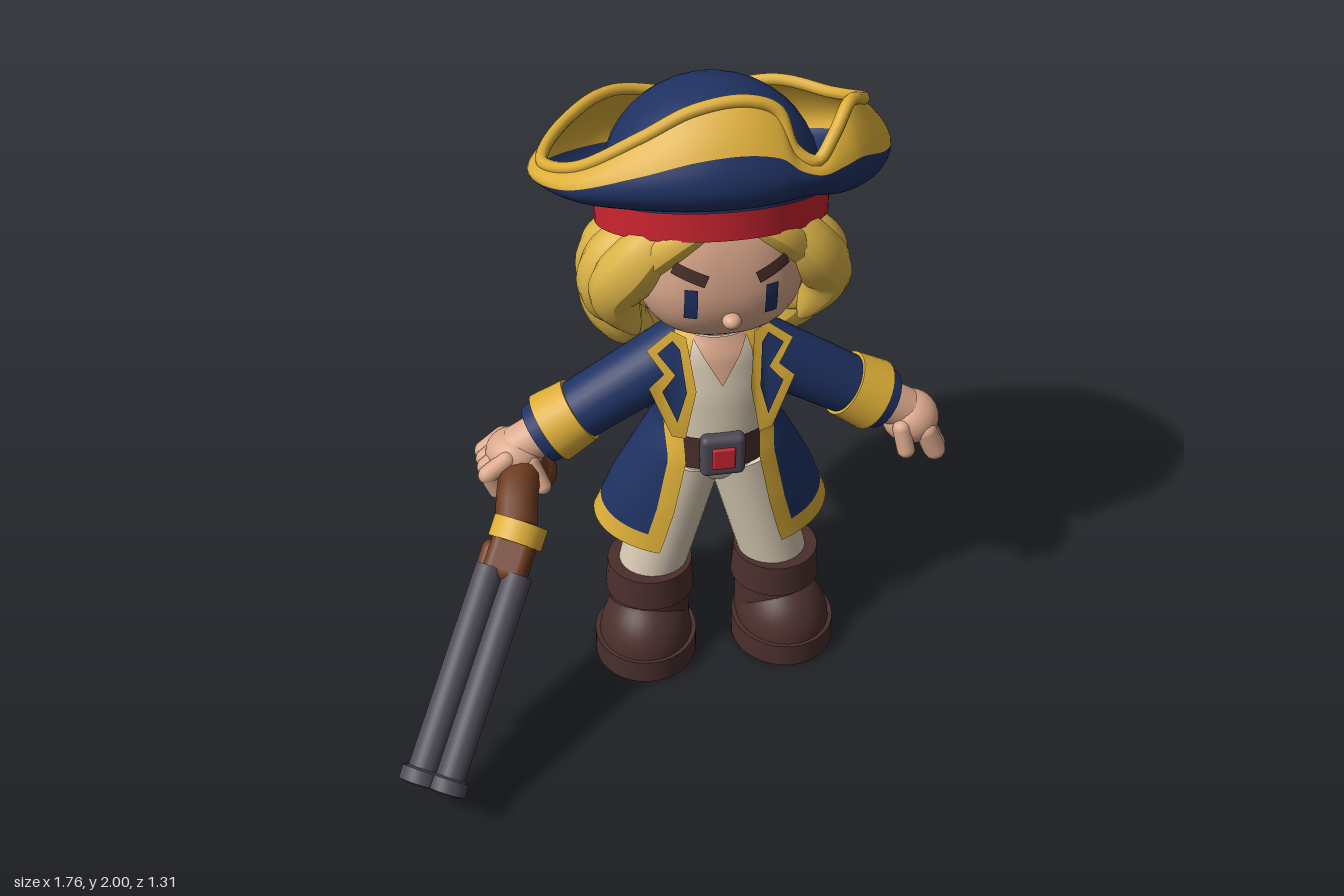
import * as THREE from 'three';
import { mergeVertices, toCreasedNormals } from 'three/addons/utils/BufferGeometryUtils.js';
import { RoundedBoxGeometry } from 'three/addons/geometries/RoundedBoxGeometry.js';

const V = (x, y, z) => new THREE.Vector3(x, y, z);
const paint = (name, color, side = THREE.FrontSide) => {
  const m = new THREE.MeshStandardMaterial({ color, side });
  m.name = name;
  return m;
};
const D = THREE.DoubleSide;
const skin = paint('skin', 0xdba88c, D), hair = paint('blonde hair', 0xdcb448, D), gold = paint('gold trim', 0xddae38, D);
const navy = paint('navy cloth', 0x1f3263, D), red = paint('red', 0xcc2430, D), cream = paint('cream cloth', 0xd9cbb4, D);
const wood = paint('wood', 0x6e3c20), leather = paint('dark leather', 0x4a2f2c, D), steel = paint('steel', 0x4d4956);

function add(parent, name, geo, mat, x = 0, y = 0, z = 0) {
  const m = new THREE.Mesh(geo, mat);
  m.name = name;
  m.position.set(x, y, z);
  parent.add(m);
  return m;
}
// surface through f(u, v) -> [x, y, z]
function grid(f, nu, nv) {
  const pos = [], idx = [];
  for (let j = 0; j <= nv; j++) for (let i = 0; i <= nu; i++) pos.push(...f(i / nu, j / nv));
  for (let j = 0; j < nv; j++) for (let i = 0; i < nu; i++) {
    const a = j * (nu + 1) + i, b = a + nu + 1;
    idx.push(a, a + 1, b, a + 1, b + 1, b);
  }
  let g = new THREE.BufferGeometry();
  g.setAttribute('position', new THREE.Float32BufferAttribute(pos, 3));
  g.setIndex(idx);
  g = mergeVertices(g, 1e-5);
  g.computeVertexNormals();
  return g;
}
function ball(parent, name, mat, c, r, sweep = Math.PI) {
  const m = add(parent, name, new THREE.SphereGeometry(1, 28, 20, 0, Math.PI * 2, 0, sweep), mat, ...c);
  m.scale.set(...r);
  return m;
}
// straight round part between two points
function rod(parent, name, mat, a, b, ra, rb = ra, round = false) {
  const p = V(...a), q = V(...b), d = q.clone().sub(p), len = d.length();
  const geo = round ? new THREE.CapsuleGeometry(ra, len, 6, 12) : new THREE.CylinderGeometry(rb, ra, len, 28);
  const m = add(parent, name, geo, mat, ...p.clone().add(q).multiplyScalar(0.5));
  m.quaternion.setFromUnitVectors(V(0, 1, 0), d.normalize());
}
// tapered tube, thick in the middle
function lock(parent, name, mat, pts, r, width = t => Math.sin(Math.PI * (0.17 + 0.81 * t)) ** 0.7) {
  const curve = new THREE.CatmullRomCurve3(pts.map(p => V(...p))), n = 24, k = 12;
  const g = new THREE.TubeGeometry(curve, n, r, k), p = g.attributes.position, v = V();
  for (let i = 0; i < p.count; i++) {
    const t = Math.floor(i / (k + 1)) / n, c = curve.getPointAt(t);
    v.fromBufferAttribute(p, i).sub(c).multiplyScalar(width(t)).add(c);
    p.setXYZ(i, v.x, v.y, v.z);
  }
  g.computeVertexNormals();
  add(parent, name, g, mat);
}
// look up a row of a table sorted by falling height
function row(table, y) {
  let i = 0;
  while (i < table.length - 2 && y < table[i + 1][0]) i++;
  const a = table[i], b = table[i + 1], t = THREE.MathUtils.clamp((a[0] - y) / (a[0] - b[0]), 0, 1);
  return a.slice(1).map((q, j) => q + (b[j + 1] - q) * t);
}
const TAU = Math.PI * 2;

function buildBody(body) {
  for (const s of [-1, 1]) {
    // boots and legs
    const boot = new THREE.Group();
    boot.name = 'boot';
    boot.position.set(0.2 * s, 0, -0.093);
    boot.rotation.y = 0.13 * s;
    body.add(boot);
    add(boot, 'sole', new THREE.CylinderGeometry(1, 1, 0.08, 36), leather, 0.015 * s, 0.04, 0.045).scale.set(0.16, 1, 0.174);
    ball(boot, 'toe', leather, [0.015 * s, 0.07, 0.045], [0.146, 0.165, 0.164], Math.PI / 2);
    rod(boot, 'bootShaft', leather, [0, 0.05, 0], [0, 0.25, 0], 0.125);
    rod(boot, 'bootCuff', leather, [0, 0.23, 0], [0, 0.335, 0], 0.139, 0.132);
    rod(body, 'trouserLeg', cream, [0.197 * s, 0.3, -0.095], [0.085 * s, 0.74, -0.1], 0.103, 0.115);
    // sleeve, cuff and shoulder
    const at = d => [s * (0.1 + 0.85 * d), 1.1 - 0.526 * d, -0.12];
    ball(body, 'shoulder', navy, at(0), [0.1, 0.1, 0.1]);
    rod(body, 'sleeve', navy, at(0), at(0.37), 0.1, 0.092);
    rod(body, 'goldCuff', gold, at(0.355), at(0.46), 0.102, 0.112);
    rod(body, 'cuffEnd', navy, at(0.455), at(0.5), 0.1, 0.094);
    rod(body, 'wrist', skin, at(0.48), at(0.58), 0.066);
  }
  ball(body, 'hips', cream, [0, 0.76, -0.1], [0.17, 0.12, 0.115]);

  // open left hand
  ball(body, 'leftPalm', skin, [0.615, 0.762, -0.12], [0.088, 0.082, 0.092]);
  for (let i = 0; i < 4; i++) {
    const z = -0.058 - i * 0.042, e = i === 0 || i === 3 ? 0.012 : 0;
    rod(body, 'leftFinger', skin, [0.65, 0.745, z], [0.695 - e, 0.66 + e, z], 0.034, 0.034, true);
  }
  rod(body, 'leftThumb', skin, [0.57, 0.77, -0.05], [0.585, 0.7, -0.035], 0.028, 0.028, true);
  // right hand closed on the grip
  ball(body, 'rightPalm', skin, [-0.6, 0.785, -0.12], [0.088, 0.066, 0.088]);
  for (let i = 0; i < 4; i++) {
    const z = -0.06 - i * 0.04;
    rod(body, 'rightFinger', skin, [-0.63, 0.8, z], [-0.69, 0.75, z], 0.028, 0.028, true);
    rod(body, 'rightFingerTip', skin, [-0.69, 0.75, z], [-0.665, 0.69, z], 0.026, 0.026, true);
  }
  rod(body, 'rightThumb', skin, [-0.56, 0.78, -0.06], [-0.53, 0.71, -0.03], 0.026, 0.026, true);

  // shirt: height, half width, half depth
  const shirt = [[1.2, 0.1, 0.075], [1.14, 0.15, 0.1], [1.0, 0.165, 0.12], [0.85, 0.16, 0.125], [0.74, 0.17, 0.12]];
  add(body, 'shirt', grid((u, v) => {
    const y = 0.74 + 0.46 * v, [w, d] = row(shirt, y), a = u * TAU;
    return [Math.sin(a) * w, y, -0.1 + Math.cos(a) * d];
  }, 40, 14), cream);
  add(body, 'neckOpening', grid((u, v) => {
    const y = 1.05 + 0.15 * v, [w, d] = row(shirt, y), x = (u * 2 - 1) * 0.085 * v;
    return [x, y, -0.092 + d * Math.sqrt(Math.max(0, 1 - (x / w) ** 2))];
  }, 10, 8), skin);
  rod(body, 'neck', skin, [0, 1.12, -0.11], [0, 1.28, -0.11], 0.08);

  // coat: height, half width, half depth, centre z, half opening
  const coat = [[1.21, 0.11, 0.08, -0.11, 0.07], [1.15, 0.17, 0.115, -0.11, 0.09], [1.05, 0.19, 0.13, -0.11, 0.1],
    [0.9, 0.18, 0.145, -0.1, 0.115], [0.8, 0.235, 0.167, -0.105, 0.11], [0.65, 0.31, 0.195, -0.125, 0.145], [0.5, 0.365, 0.215, -0.145, 0.19]];
  const onCoat = (a, y) => {
    const [w, d, cz] = row(coat, y);
    const drop = 0.055 * Math.max(0, Math.cos(a)) * THREE.MathUtils.clamp((0.8 - y) / 0.25, 0, 1);
    return [Math.sin(a) * w, y - drop, cz + Math.cos(a) * d];
  };
  const edge = (y, extra) => { const [w, , , g] = row(coat, y); return Math.asin(Math.min(1, (g + extra) / w)); };
  const around = (u, y) => { const b = edge(y, 0.05); return onCoat(b + u * (TAU - 2 * b), y); };
  add(body, 'coat', grid((u, v) => around(u, 0.56 + 0.65 * v), 56, 26), navy);
  add(body, 'coatHem', grid((u, v) => around(u, 0.5 + 0.06 * v), 56, 2), gold);
  for (const s of [-1, 1]) {
    add(body, 'coatFrontTrim', grid((u, v) => {
      const y = 0.5 + 0.71 * v, a = edge(y, 0), b = edge(y, 0.05);
      return onCoat(s * (a + u * (b - a)), y);
    }, 4, 24), gold);
    // notched lapel with a gold border
    const lapel = (name, pts, mat, lift) => {
      const g = new THREE.ShapeGeometry(new THREE.Shape(pts.map(([x, y]) => new THREE.Vector2(x * s, y)))), p = g.attributes.position;
      for (let i = 0; i < p.count; i++)
        p.setZ(i, 0.032 + lift - 0.4 * Math.max(0, p.getY(i) - 1.05) - 0.15 * (Math.abs(p.getX(i)) - 0.1));
      g.computeVertexNormals();
      add(body, name, g, mat);
    };
    lapel('lapelBorder', [[0.14, 1.22], [0.215, 1.165], [0.17, 1.1], [0.215, 1.06], [0.15, 0.89], [0.11, 0.88], [0.08, 1.05], [0.1, 1.2]], gold, 0);
    lapel('lapel', [[0.14, 1.195], [0.185, 1.16], [0.138, 1.1], [0.178, 1.055], [0.135, 0.945], [0.108, 1.05], [0.12, 1.17]], navy, 0.006);
  }

  // belt, buckle and knot
  const belt = (name, a0, a1, w, d, y, h, cz) => add(body, name, grid((u, v) => {
    const a = a0 + (a1 - a0) * u;
    return [Math.sin(a) * w, y + (v - 0.5) * h, cz + Math.cos(a) * d];
  }, 28, 2), leather);
  belt('beltFront', -1.1, 1.1, 0.172, 0.137, 0.815, 0.115, -0.1);
  belt('beltBack', 1.9, TAU - 1.9, 0.205, 0.162, 0.885, 0.055, -0.105);
  for (const s of [-1, 1]) rod(body, 'beltKnot', leather, [0, 0.885, -0.265], [0.035 * s, 0.86, -0.3], 0.02, 0.012);
  add(body, 'buckle', new RoundedBoxGeometry(0.135, 0.14, 0.05, 3, 0.02), steel, 0, 0.815, 0.035);
  add(body, 'buckleStone', new RoundedBoxGeometry(0.07, 0.075, 0.02, 2, 0.008), red, 0, 0.815, 0.058);
}

function buildHead(body) {
  // face: squarish in plan, taller above the middle, full round jaw below
  const fy = 1.44, fz = -0.11, R = [0.25, 0.222, 0.24], tall = 1.6, jaw = 0.7, n = 2.5;
  const g = new THREE.SphereGeometry(1, 40, 28), p = g.attributes.position;
  for (let i = 0; i < p.count; i++) {
    const x = p.getX(i), y = p.getY(i), z = p.getZ(i), h = Math.hypot(x, z);
    if (h < 1e-4) { p.setY(i, y * R[1] * (y > 0 ? tall : 1)); continue; }
    const f = h ** (y < 0 ? jaw : 1) / (Math.abs(x) ** n + Math.abs(z) ** n) ** (1 / n);
    p.setXYZ(i, x * R[0] * f, y * R[1] * (y > 0 ? tall : 1), z * R[2] * f);
  }
  g.computeVertexNormals();
  add(body, 'face', g, skin, 0, fy, fz);
  const patch = (name, x0, y0, w, h, tilt, mat) => add(body, name, grid((u, v) => {
    const a = (u - 0.5) * w, b = (v - 0.5) * h;
    const x = x0 + a * Math.cos(tilt) - b * Math.sin(tilt), y = y0 + a * Math.sin(tilt) + b * Math.cos(tilt);
    const q = (y - fy) / (R[1] * (y > fy ? tall : 1)), H = Math.sqrt(1 - q * q) ** (y > fy ? 1 : jaw);
    return [x, y, fz + 0.006 + R[2] * (H ** n - Math.abs(x / R[0]) ** n) ** (1 / n)];
  }, 6, 8), mat);
  for (const s of [-1, 1]) {
    patch('eye', 0.113 * s, 1.413, 0.036, 0.1, 0, navy);
    patch('eyebrow', 0.115 * s, 1.507, 0.095, 0.038, 0.38 * s, leather);
  }
  ball(body, 'nose', skin, [0, 1.355, 0.13], [0.027, 0.022, 0.028]);

  // hair cap and locks, all tucked under the hat band
  ball(body, 'hairCap', hair, [0, 1.4, -0.25], [0.31, 0.25, 0.26]);
  for (const s of [-1, 1]) {
    const L = (name, r, ...pts) => lock(body, name, hair, pts.map(([x, y, z]) => [x * s, y, z]), r);
    L('fringe', 0.055, [0.06, 1.63, 0.065], [0.14, 1.58, 0.055], [0.22, 1.48, 0.01], [0.255, 1.36, -0.03]);
    L('frontLock', 0.085, [0.15, 1.6, 0.0], [0.24, 1.49, 0.0], [0.302, 1.37, -0.04], [0.24, 1.22, -0.05]);
    L('sideLock', 0.1, [0.2, 1.5, -0.14], [0.285, 1.4, -0.14], [0.295, 1.29, -0.16], [0.22, 1.18, -0.17]);
    L('lowerSideLock', 0.1, [0.2, 1.42, -0.25], [0.28, 1.28, -0.25], [0.255, 1.16, -0.23], [0.16, 1.07, -0.24]);
    L('backSideLock', 0.115, [0.2, 1.42, -0.32], [0.26, 1.29, -0.36], [0.22, 1.13, -0.36], [0.1, 0.98, -0.33]);
    L('backLock', 0.12, [0.1, 1.39, -0.38], [0.15, 1.27, -0.445], [0.12, 1.09, -0.42], [0.05, 0.94, -0.38]);
  }
  lock(body, 'middleLock', hair, [[0, 1.39, -0.38], [0.03, 1.26, -0.445], [-0.03, 1.1, -0.42], [0.02, 0.92, -0.38]], 0.13);
}

function buildHat(root) {
  const hat = new THREE.Group();
  hat.name = 'hat';
  root.add(hat);
  const cx = 0.155, cz = -0.2;
  ball(hat, 'hatCrown', navy, [cx, 1.625, cz - 0.01], [0.308, 0.29, 0.31]).rotation.x = -0.34;
  add(hat, 'hatBand', grid((u, v) => {
    const a = u * TAU, r = 0.332, z = cz + Math.cos(a) * r;
    return [cx + Math.sin(a) * r, 1.505 + 0.34 * (z - cz) + v * 0.09, z];
  }, 56, 3), red);
  // brim: widest loop and upturned rim loop
  const wide = [[0.06, 1.82, 0.148], [0.19, 1.825, 0.152], [0.28, 1.81, 0.143], [0.34, 1.785, 0.13], [0.4, 1.765, 0.11], [0.46, 1.755, 0.085],
    [0.52, 1.745, 0.05], [0.6, 1.72, -0.03], [0.66, 1.69, -0.18], [0.62, 1.62, -0.42], [0.45, 1.56, -0.58], [0.16, 1.53, -0.652],
    [-0.12, 1.56, -0.58], [-0.29, 1.62, -0.4], [-0.352, 1.68, -0.18], [-0.27, 1.72, 0], [-0.1, 1.78, 0.105]];
  const rim = [[0.06, 1.965, 0.03], [0.2, 1.985, 0.035], [0.285, 1.95, 0.04], [0.325, 1.85, 0.075], [0.385, 1.815, 0.085], [0.44, 1.865, 0.04],
    [0.495, 1.92, -0.03], [0.56, 1.87, -0.13], [0.585, 1.81, -0.25], [0.54, 1.74, -0.42], [0.4, 1.74, -0.52], [0.16, 1.69, -0.575],
    [-0.08, 1.74, -0.53], [-0.24, 1.73, -0.38], [-0.322, 1.73, -0.18], [-0.24, 1.785, -0.04], [-0.08, 1.89, 0.02]];
  const loop = pts => new THREE.CatmullRomCurve3(pts.map(q => V(...q)), true);
  const wideLoop = loop(wide), rimLoop = loop(rim), k = 0.55;
  const start = u => 0.48 + 0.22 * THREE.MathUtils.smoothstep(wideLoop.getPoint(u).z, -0.5, 0.15);
  const brim = (u, t) => {
    const b = wideLoop.getPoint(u), r = rimLoop.getPoint(u), a = Math.atan2(b.x - cx, b.z - cz);
    const z = cz + Math.cos(a) * 0.305, p = V(cx + Math.sin(a) * 0.305, 1.59 + 0.35 * (z - cz), z);
    const c = b.clone().addScaledVector(p, -((1 - k) ** 2)).addScaledVector(r, -k * k).divideScalar(2 * k * (1 - k));
    return p.multiplyScalar((1 - t) ** 2).addScaledVector(c, 2 * t * (1 - t)).addScaledVector(r, t * t).toArray();
  };
  add(hat, 'hatBrim', grid((u, v) => brim(u, v * start(u)), 136, 10), navy);
  add(hat, 'hatBrimTrim', grid((u, v) => brim(u, start(u) + v * (1 - start(u))), 136, 6), gold);
  add(hat, 'hatRim', new THREE.TubeGeometry(rimLoop, 160, 0.018, 10, true), gold);
}

function buildGun(root) {
  // local axes: x across the barrels, y up, z toward the muzzle
  const gun = new THREE.Group();
  gun.name = 'blunderbuss';
  const d = V(-0.32, -0.52, 0.47).normalize(), s = V(0.84, -0.3, 0.46);
  s.addScaledVector(d, -s.dot(d)).normalize();
  const m = new THREE.Matrix4().makeBasis(s, V().crossVectors(d, s), d);
  gun.applyMatrix4(m.setPosition(-0.465, 0.652, 0.1));
  root.add(gun);
  const profile = [[0, 0.12], [0.044, 0.12], [0.043, 0.73], [0.058, 0.735], [0.058, 0.775], [0.04, 0.78], [0.035, 0.64], [0, 0.64]];
  for (const x of [-0.042, 0.042]) {
    const g = new THREE.LatheGeometry(profile.map(q => new THREE.Vector2(...q)), 24).rotateX(Math.PI / 2);
    add(gun, 'barrel', toCreasedNormals(g, 0.6), steel, x, 0.028, 0);
  }
  add(gun, 'receiver', new RoundedBoxGeometry(0.13, 0.13, 0.15, 3, 0.03), wood, 0, 0, 0.075);
  add(gun, 'stock', new RoundedBoxGeometry(0.155, 0.1, 0.47, 3, 0.03), wood, -0.014, -0.04, 0.275);
  add(gun, 'foreGrip', new RoundedBoxGeometry(0.1, 0.075, 0.26, 3, 0.025), wood, 0, -0.055, 0.49);
  rod(gun, 'goldCollar', gold, [0, 0, -0.03], [0, 0, 0.035], 0.082);
  add(gun, 'triggerGuard', new THREE.TorusGeometry(0.05, 0.013, 8, 24), wood, 0, -0.1, 0.11).rotation.y = Math.PI / 2;
  rod(gun, 'trigger', steel, [0, -0.06, 0.12], [0, -0.115, 0.105], 0.01);
  // curved grip with a round pommel
  lock(root, 'gunGrip', wood, [[-0.47, 0.67, 0.1], [-0.452, 0.73, 0], [-0.425, 0.735, -0.09], [-0.39, 0.67, -0.16]], 0.062, () => 1);
  ball(root, 'pommel', wood, [-0.388, 0.665, -0.16], [0.07, 0.07, 0.07]);
}

export function createModel() {
  const root = new THREE.Group();
  root.name = 'seafarer';
  const body = new THREE.Group();
  body.name = 'figure';
  body.position.x = 0.155;
  root.add(body);
  buildBody(body);
  buildHead(body);
  buildHat(root);
  buildGun(root);
  return root;
}
